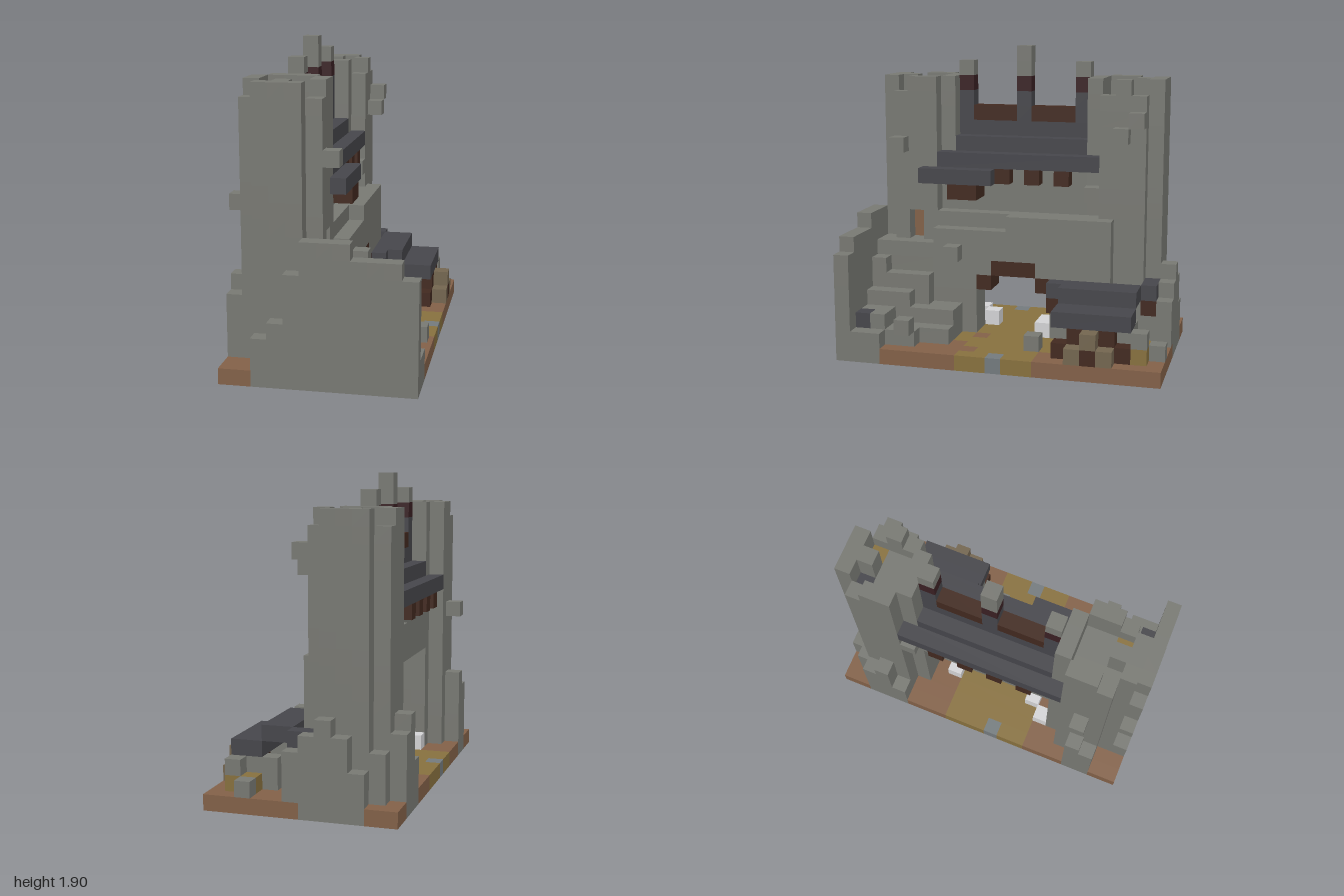
import * as THREE from 'three';
import { mergeGeometries } from 'three/addons/utils/BufferGeometryUtils.js';

const U = 2 / 21;            // edge length of one block
const NX = 12, NY = 20, NZ = 21;
const COLORS = {
  stone: 0x797a74, slate: 0x47474c, timber: 0x432a20, redTimber: 0x3a2023,
  clay: 0x846249, sand: 0x89723f, paleStone: 0xd6d6d8, plank: 0x756751, gravel: 0x757c7f,
};

export function createModel() {
  const cells = new Map();
  const key = (i, j, k) => (i * NY + j) * NZ + k;
  // Fill inclusive ranges of the block grid; a null colour carves a hollow.
  const fill = (part, color, x, y, z) => {
    const r = (v) => (Array.isArray(v) ? v : [v, v]);
    const [x0, x1] = r(x), [y0, y1] = r(y), [z0, z1] = r(z);
    for (let i = x0; i <= x1; i++) for (let j = y0; j <= y1; j++) for (let k = z0; k <= z1; k++) {
      if (color) cells.set(key(i, j, k), part + '|' + color);
      else cells.delete(key(i, j, k));
    }
  };

  // Ground with worn sandy path
  fill('ground', 'clay', [0, 11], 0, [0, 20]);
  fill('ground', 'sand', [0, 10], 0, [8, 13]);
  fill('ground', 'sand', [7, 9], 0, [7, 13]);
  fill('ground', 'sand', 11, 0, [8, 12]);
  fill('ground', 'clay', 7, 0, 12);
  fill('ground', 'clay', 10, 0, 12);
  fill('ground', 'clay', [9, 11], 0, 13);
  fill('ground', 'gravel', 11, 0, 10);
  fill('ground', 'gravel', 0, 0, 11);
  fill('ground', 'stone', [2, 11], 0, 20);
  fill('ground', 'stone', 11, 0, [18, 19]);
  fill('ground', 'stone', [2, 5], 0, 0);
  fill('ground', 'stone', 0, 0, [2, 4]);
  fill('ground', 'stone', 0, 0, [17, 18]);

  // Two towers with sunken tops, mirrored front to back
  for (const m of [(k) => k, (k) => 20 - k]) {
    const zr = (a, b) => [Math.min(m(a), m(b)), Math.max(m(a), m(b))];
    fill('tower', 'stone', [2, 4], [1, 17], zr(1, 5));
    fill('tower', 'stone', [1, 5], [1, 17], zr(2, 4));
    fill('tower', null, [2, 4], [16, 17], zr(2, 4));
    fill('tower', 'stone', 3, [16, 17], m(2));
    fill('tower', 'sand', 4, 15, m(2));
    for (const i of [1, 5]) fill('tower', null, i, 17, m(2));
    // broken buttress on the outer side
    fill('buttress', 'stone', 0, [1, 4], zr(2, 3));
    fill('buttress', 'stone', 0, 5, m(3));
  }
  fill('buttress', 'stone', 1, [0, 3], 1);
  fill('buttress', 'stone', 0, [1, 2], 4);
  fill('tower', null, 5, 17, 4);
  fill('tower', 'slate', 2, 15, 2);
  // Small recessed window with clay back
  fill('towerWindow', null, 5, [7, 8], 17);
  fill('towerWindow', 'clay', 4, [7, 8], 17);
  // Loose stones jutting from the walls
  for (const [i, j, k] of [[6, 13, 18], [6, 15, 2], [6, 14, 3], [5, 10, 5], [1, 10, 5],
    [0, 10, 17], [7, 6, 14], [11, 2, 16]])
    fill('juttingStone', 'stone', i, j, k);

  // Gatehouse wall, thicker on the courtyard side
  fill('gateWall', 'stone', [2, 4], [8, 13], [6, 14]);
  fill('gateWall', 'stone', 5, [1, 8], [5, 15]);
  fill('gateWall', 'stone', 6, [1, 8], [4, 10]);
  fill('gateWall', 'stone', 6, [1, 7], [11, 15]);
  // Timbered arch into the open vault behind
  fill('gateWall', null, [5, 6], [1, 3], [8, 12]);
  fill('gateWall', null, [5, 6], 4, [9, 11]);
  fill('gateArch', 'timber', [5, 6], 5, [9, 11]);
  for (const k of [8, 12]) fill('gateArch', 'timber', [5, 6], 4, k);
  // Pale rubble in the passage
  fill('paleRubble', 'paleStone', [5, 6], 1, 8);
  for (const [i, k] of [[4, 12], [3, 13], [2, 14], [3, 7]]) fill('paleRubble', 'paleStone', i, 1, k);

  // Stepped gable roof
  fill('mainRoof', 'slate', 3, 14, [6, 14]);
  for (const i of [2, 4]) fill('mainRoof', 'slate', i, 13, [6, 14]);
  for (const i of [1, 5]) {
    fill('mainRoof', 'slate', i, 12, [5, 15]);
    for (const k of [7, 9, 11, 13]) fill('rafterEnd', 'timber', i, 11, k);
  }
  fill('lowerEave', 'slate', 6, 11, [12, 16]);
  fill('eaveBracket', 'timber', [5, 6], 10, [13, 14]);
  fill('ridge', 'timber', 3, 15, [7, 13]);
  // Ridge posts with banded tops
  for (const k of [6, 10, 14]) {
    fill('ridgePost', 'slate', 3, [15, 16], k);
    fill('ridgePost', 'redTimber', 3, 17, k);
    fill('ridgePost', 'stone', 3, [18, k === 10 ? 19 : 18], k);
  }

  // Ruined front wall, heights per column
  [3, 4, 7, 9, 9, 9, 8, 8, 8, 7].forEach((h, n) => fill('frontWall', 'stone', n + 2, [0, h - 1], 20));
  // Rubble heaped behind it: column, first row, last row, height
  [[5, 19, 19, 7], [6, 16, 19, 7], [7, 16, 18, 5], [7, 19, 19, 6], [8, 17, 19, 4], [9, 18, 19, 3],
    [7, 14, 15, 3], [8, 14, 16, 3], [9, 14, 17, 2], [10, 16, 19, 2], [10, 18, 18, 3], [11, 18, 19, 2]]
    .forEach(([i, a, b, h]) => fill('frontRubble', 'stone', i, [1, h - 1], [a, b]));
  fill('frontRubble', 'slate', 10, 2, 19);

  // Ruined back wall
  [3, 5, 6, 5, 4].forEach((h, n) => fill('backWall', 'stone', n + 2, [1, h - 1], 0));
  fill('backWall', 'stone', 5, [1, 3], 1);
  fill('backWall', 'stone', 6, [1, 3], [1, 3]);
  fill('backWall', 'slate', [5, 6], 4, 1);
  fill('stallBeam', 'timber', 6, 3, 1);

  // Lean-to stall with stepped roof
  fill('stallRoof', 'slate', 7, 4, [2, 7]);
  fill('stallRoof', 'slate', 8, 4, [2, 6]);
  fill('stallRoof', 'slate', [9, 10], 3, [2, 6]);
  fill('stallBeam', 'timber', 7, 3, 7);
  for (const k of [2, 6]) {
    fill('stallSide', 'stone', [8, 9], [1, 2], k);
    fill('stallPost', 'timber', 10, 1, k);
  }
  for (const k of [3, 5]) {
    fill('stallPost', 'timber', 10, 2, k);
    fill('stallCounter', 'plank', 11, 1, k);
  }
  fill('stallCounter', 'plank', 11, 2, 4);
  fill('stallCounter', 'timber', 11, 1, 4);
  fill('stallCrate', 'sand', [9, 10], 1, 1);
  // Scattered stones
  fill('looseStone', 'stone', 9, 1, 0);
  fill('looseStone', 'stone', 10, 2, 1);
  fill('looseStone', 'stone', 9, 1, 8);

  // Turn rows of equal blocks into boxes, grouped by part and colour
  const rows = new Map();
  for (let i = 0; i < NX; i++) for (let j = 0; j < NY; j++) for (let k = 0; k < NZ;) {
    const tag = cells.get(key(i, j, k));
    let end = k + 1;
    while (end < NZ && cells.get(key(i, j, end)) === tag) end++;
    if (tag) {
      const g = new THREE.BoxGeometry(U, U, U * (end - k));
      g.translate((i + 0.5 - NX / 2) * U, (j + 0.5) * U, ((k + end) / 2 - NZ / 2) * U);
      if (!rows.has(tag)) rows.set(tag, []);
      rows.get(tag).push(g);
    }
    k = end;
  }
  const materials = {};
  for (const name in COLORS) {
    materials[name] = new THREE.MeshStandardMaterial({ color: COLORS[name] });
    materials[name].name = name;
  }
  const model = new THREE.Group();
  model.name = 'ruinedGatehouse';
  for (const [tag, list] of rows) {
    const [part, color] = tag.split('|');
    const mesh = new THREE.Mesh(mergeGeometries(list), materials[color]);
    mesh.name = part;
    model.add(mesh);
  }
  return model;
}
